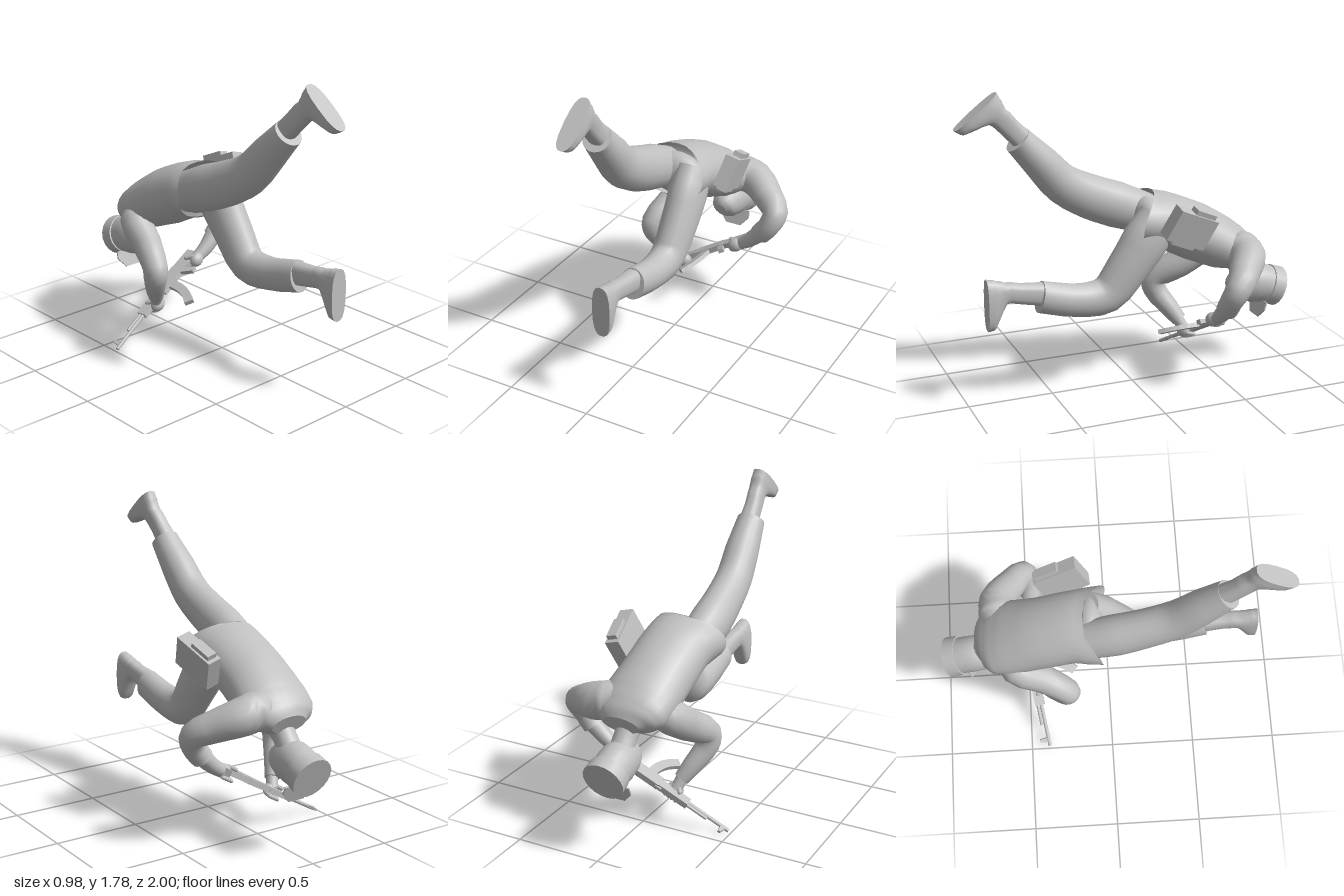
import * as THREE from 'three';

const grey = new THREE.MeshStandardMaterial({ color: 0xc0c0c0 });
grey.name = 'plain grey';
const greyOpen = new THREE.MeshStandardMaterial({ color: 0xc0c0c0, side: THREE.DoubleSide });
greyOpen.name = 'plain grey';

const V = (x, y, z) => new THREE.Vector3(x, y, z);

// Skin of elliptical rings; each section is [x, y, z, halfWidth, halfDepth].
// axis keeps all rings parallel, power below 1 squares them off,
// hem bows an open first ring out at the sides.
function loft(name, sections, { axis, power = 1, hem = 0, sides = 18, sub = 3 } = {}) {
  const curve = new THREE.CatmullRomCurve3(sections.map((s) => V(s[0], s[1], s[2])), false, 'centripetal');
  const segs = sections.length - 1, n = segs * sub;
  const pos = [], idx = [], rings = [];
  const soft = (v) => Math.sign(v) * Math.abs(v) ** power;
  for (let k = 0; k <= n; k++) {
    const t = k / n, i = Math.min(Math.floor(k / sub), segs - 1), f = k / sub - i;
    const c = curve.getPoint(t), T = axis ? axis.clone().normalize() : curve.getTangent(t);
    const side = V(1, 0, 0).addScaledVector(T, -T.x).normalize();
    const other = T.clone().cross(side);
    const a = THREE.MathUtils.lerp(sections[i][3], sections[i + 1][3], f);
    const b = THREE.MathUtils.lerp(sections[i][4], sections[i + 1][4], f);
    const ring = [];
    for (let j = 0; j < sides; j++) {
      const q = (j / sides) * Math.PI * 2;
      const p = c.clone().addScaledVector(side, a * soft(Math.cos(q))).addScaledVector(other, b * soft(Math.sin(q)));
      if (k === 0) p.z += hem * Math.cos(2 * q);
      ring.push(p);
    }
    rings.push({ c, ring });
    ring.forEach((p) => pos.push(p.x, p.y, p.z));
  }
  for (let k = 0; k < n; k++) for (let j = 0; j < sides; j++) {
    const a = k * sides + j, a1 = k * sides + (j + 1) % sides;
    idx.push(a, a1, a1 + sides, a, a1 + sides, a + sides);
  }
  // Flat end caps with their own corners
  const cap = ({ c, ring }, flip) => {
    const base = pos.length / 3;
    [c, ...ring].forEach((p) => pos.push(p.x, p.y, p.z));
    for (let j = 0; j < sides; j++) {
      const p = base + 1 + j, q = base + 1 + (j + 1) % sides;
      idx.push(base, flip ? q : p, flip ? p : q);
    }
  };
  if (!hem) cap(rings[0], true);
  cap(rings[n], false);
  const g = new THREE.BufferGeometry();
  g.setAttribute('position', new THREE.Float32BufferAttribute(pos, 3));
  g.setIndex(idx);
  g.computeVertexNormals();
  const m = new THREE.Mesh(g, hem ? greyOpen : grey);
  m.name = name;
  return m;
}

function mesh(name, geo, x = 0, y = 0, z = 0) {
  const m = new THREE.Mesh(geo, grey);
  m.name = name;
  m.position.set(x, y, z);
  return m;
}
const box = (name, w, h, d, x, y, z) => mesh(name, new THREE.BoxGeometry(w, h, d), x, y, z);

// Turns an object so its local x and y follow the given directions
function orient(o, xDir, yDir) {
  const X = xDir.clone().normalize();
  const Y = yDir.clone().addScaledVector(X, -yDir.dot(X)).normalize();
  o.quaternion.setFromRotationMatrix(new THREE.Matrix4().makeBasis(X, Y, X.clone().cross(Y)));
  return o;
}

function plate(points, depth) {
  const s = new THREE.Shape(points.map((p) => new THREE.Vector2(p[0], p[1])));
  return new THREE.ExtrudeGeometry(s, { depth, bevelEnabled: false }).translate(0, 0, -depth / 2);
}

const gunDir = V(0.69, 0.4, -0.115), gunUp = V(0, 0, -1);

// Rifle: muzzle at the local origin, butt toward +x, magazine toward -y
function makeRifle() {
  const g = new THREE.Group();
  g.name = 'rifle';
  const barrel = mesh('barrel', new THREE.CylinderGeometry(0.011, 0.011, 0.3, 10), 0.15, 0, 0);
  barrel.rotation.z = Math.PI / 2;
  const gasTube = mesh('gasTube', new THREE.CylinderGeometry(0.01, 0.01, 0.16, 10), 0.22, 0.022, 0);
  gasTube.rotation.z = Math.PI / 2;
  g.add(barrel, gasTube,
    mesh('frontSight', plate([[0.02, 0], [0.055, 0], [0.05, 0.055], [0.035, 0.055]], 0.014)),
    box('handguard', 0.2, 0.06, 0.034, 0.37, 0.008, 0),
    box('receiver', 0.19, 0.082, 0.034, 0.56, 0.003, 0),
    box('rearSight', 0.04, 0.016, 0.016, 0.46, 0.043, 0),
    mesh('stock', plate([[0.64, 0.042], [0.81, 0.03], [0.81, -0.07], [0.77, -0.07], [0.64, -0.03]], 0.03)),
    mesh('pistolGrip', plate([[0.63, -0.03], [0.67, -0.03], [0.7, -0.11], [0.665, -0.115]], 0.026)));
  // Curved magazine swept along an arc
  const front = [], back = [];
  for (let i = 0; i <= 6; i++) {
    const q = (i / 6) * 0.82;
    front.push([0.24 + 0.27 * Math.cos(q), -0.03 - 0.27 * Math.sin(q)]);
    back.unshift([0.24 + 0.325 * Math.cos(q), -0.03 - 0.325 * Math.sin(q)]);
  }
  g.add(mesh('magazine', plate([...front, ...back], 0.026)));
  g.position.set(-0.485, 0.012, -0.39);
  return orient(g, gunDir, gunUp);
}

// Hand closed around the rifle: palm, four fingers, thumb
function makeHand(name, x, y, z) {
  const g = new THREE.Group();
  g.name = name;
  const palm = mesh('palm', new THREE.SphereGeometry(0.045, 14, 10), 0, -0.022, 0);
  palm.scale.set(1.1, 0.85, 0.95);
  g.add(palm);
  for (let i = 0; i < 4; i++) {
    const f = mesh('finger', new THREE.CapsuleGeometry(0.012, 0.045, 3, 8), -0.036 + i * 0.023, 0.002, -0.028);
    f.rotation.x = -0.25;
    g.add(f);
  }
  const thumb = mesh('thumb', new THREE.CapsuleGeometry(0.013, 0.045, 3, 8), -0.02, 0.005, 0.033);
  thumb.rotation.z = 0.5;
  g.add(thumb);
  g.position.set(x, y, z);
  return orient(g, gunDir, gunUp);
}

// Satchel on the left hip with a pouch above and below
function makeSatchel() {
  const g = new THREE.Group();
  g.name = 'satchel';
  g.add(box('bag', 0.27, 0.19, 0.085, 0, 0, 0),
    box('topPouch', 0.14, 0.03, 0.06, 0.04, 0.108, 0),
    box('bottomPouch', 0.16, 0.025, 0.06, 0.0, -0.105, 0));
  g.position.set(0.238, 0.99, -0.255);
  return orient(g, V(-0.045, -0.11, -0.25), V(0.04, 0.17, -0.075));
}

// Flat-topped cap with a short visor
function makeCap() {
  const g = new THREE.Group();
  g.name = 'cap';
  const crown = mesh('crown', new THREE.CylinderGeometry(0.122, 0.118, 0.075, 20), -0.02, 0.477, -0.92);
  orient(crown, V(1, 0, 0), V(0, -0.35, -0.937));
  const visor = mesh('visor', plate([[-0.05, 0.09], [0.05, 0.09], [0.1, 0.03], [0.095, -0.015],
    [-0.095, -0.015], [-0.1, 0.03]].reverse(), 0.009), -0.02, 0.385, -0.842);
  orient(visor, V(1, 0, 0), V(0, -0.94, 0.33));
  g.add(crown, visor);
  return g;
}

export function createModel() {
  const model = new THREE.Group();
  model.name = 'crouchedRunner';

  // Jacket body, open at the hem, closing into the collar
  model.add(loft('jacket', [
    [-0.06, 0.995, -0.07, 0.232, 0.158], [-0.05, 0.965, -0.2, 0.212, 0.165],
    [-0.045, 0.875, -0.4, 0.21, 0.172], [-0.03, 0.79, -0.57, 0.22, 0.155],
    [-0.02, 0.755, -0.655, 0.215, 0.13], [-0.015, 0.73, -0.715, 0.175, 0.1], [-0.015, 0.71, -0.755, 0.11, 0.06],
  ], { hem: 0.042, sides: 24 }));

  // Seat of the trousers inside the hem
  const seat = mesh('trouserSeat', new THREE.SphereGeometry(1, 20, 14), -0.05, 0.98, -0.11);
  seat.scale.set(0.18, 0.13, 0.09);
  model.add(seat);

  // Head, neck and cap
  model.add(
    loft('neck', [[-0.02, 0.72, -0.63, 0.085, 0.085], [-0.02, 0.63, -0.71, 0.066, 0.066], [-0.02, 0.54, -0.78, 0.07, 0.07]]),
    loft('head', [[-0.02, 0.485, -0.9, 0.108, 0.112], [-0.02, 0.508, -0.8, 0.108, 0.124],
      [-0.02, 0.505, -0.72, 0.094, 0.11], [-0.02, 0.495, -0.66, 0.07, 0.075], [-0.02, 0.485, -0.635, 0.035, 0.04]]),
    makeCap());

  // Right leg trailing high behind
  model.add(
    loft('rightTrouserLeg', [[-0.14, 0.985, -0.14, 0.11, 0.12], [-0.145, 1.055, 0.04, 0.115, 0.135],
      [-0.14, 1.12, 0.2, 0.108, 0.13], [-0.13, 1.215, 0.37, 0.105, 0.116],
      [-0.12, 1.35, 0.495, 0.1, 0.103], [-0.11, 1.5, 0.635, 0.082, 0.082]]),
    loft('rightBoot', [[-0.11, 1.47, 0.58, 0.056, 0.062], [-0.105, 1.57, 0.678, 0.048, 0.058],
      [-0.095, 1.645, 0.757, 0.048, 0.063], [-0.093, 1.648, 0.84, 0.056, 0.143], [-0.093, 1.682, 0.878, 0.054, 0.157]],
    { axis: V(0, 0.78, 0.62), power: 0.75 }));

  // Left leg bent beneath
  model.add(
    loft('leftTrouserLeg', [[0.04, 1.02, -0.15, 0.1, 0.12], [0.05, 0.89, -0.065, 0.11, 0.142],
      [0.05, 0.73, 0.05, 0.105, 0.126], [0.045, 0.585, 0.175, 0.096, 0.112],
      [0.05, 0.575, 0.35, 0.085, 0.098], [0.055, 0.628, 0.58, 0.075, 0.092]]),
    loft('leftBoot', [[0.05, 0.64, 0.55, 0.055, 0.068], [0.047, 0.66, 0.69, 0.046, 0.06],
      [0.042, 0.672, 0.775, 0.048, 0.06], [0.042, 0.613, 0.845, 0.055, 0.145], [0.042, 0.612, 0.886, 0.055, 0.153]],
    { axis: V(0, 0, 1), power: 0.75 }));

  // Left arm, elbow out to the side
  model.add(
    loft('leftSleeve', [[0.02, 0.785, -0.62, 0.09, 0.09], [0.12, 0.78, -0.638, 0.112, 0.112], [0.21, 0.762, -0.638, 0.107, 0.107],
      [0.33, 0.71, -0.56, 0.09, 0.09], [0.418, 0.655, -0.485, 0.076, 0.076],
      [0.395, 0.575, -0.45, 0.066, 0.066], [0.34, 0.505, -0.45, 0.064, 0.064]]),
    loft('leftForearm', [[0.36, 0.53, -0.45, 0.055, 0.055], [0.27, 0.445, -0.445, 0.045, 0.045], [0.2, 0.395, -0.45, 0.036, 0.036]]),
    makeHand('leftHand', 0.18, 0.39, -0.455));

  // Right arm, elbow drawn back
  model.add(
    loft('rightSleeve', [[-0.08, 0.79, -0.6, 0.085, 0.085], [-0.2, 0.715, -0.54, 0.095, 0.1],
      [-0.235, 0.615, -0.4, 0.085, 0.092], [-0.29, 0.52, -0.26, 0.072, 0.078],
      [-0.285, 0.445, -0.265, 0.068, 0.07], [-0.23, 0.34, -0.335, 0.056, 0.058], [-0.185, 0.265, -0.385, 0.044, 0.046]]),
    loft('rightWrist', [[-0.195, 0.29, -0.365, 0.036, 0.036], [-0.165, 0.21, -0.41, 0.034, 0.034]], { sub: 2 }),
    makeHand('rightHand', -0.16, 0.2, -0.425));

  model.add(makeRifle(), makeSatchel());
  return model;
}
